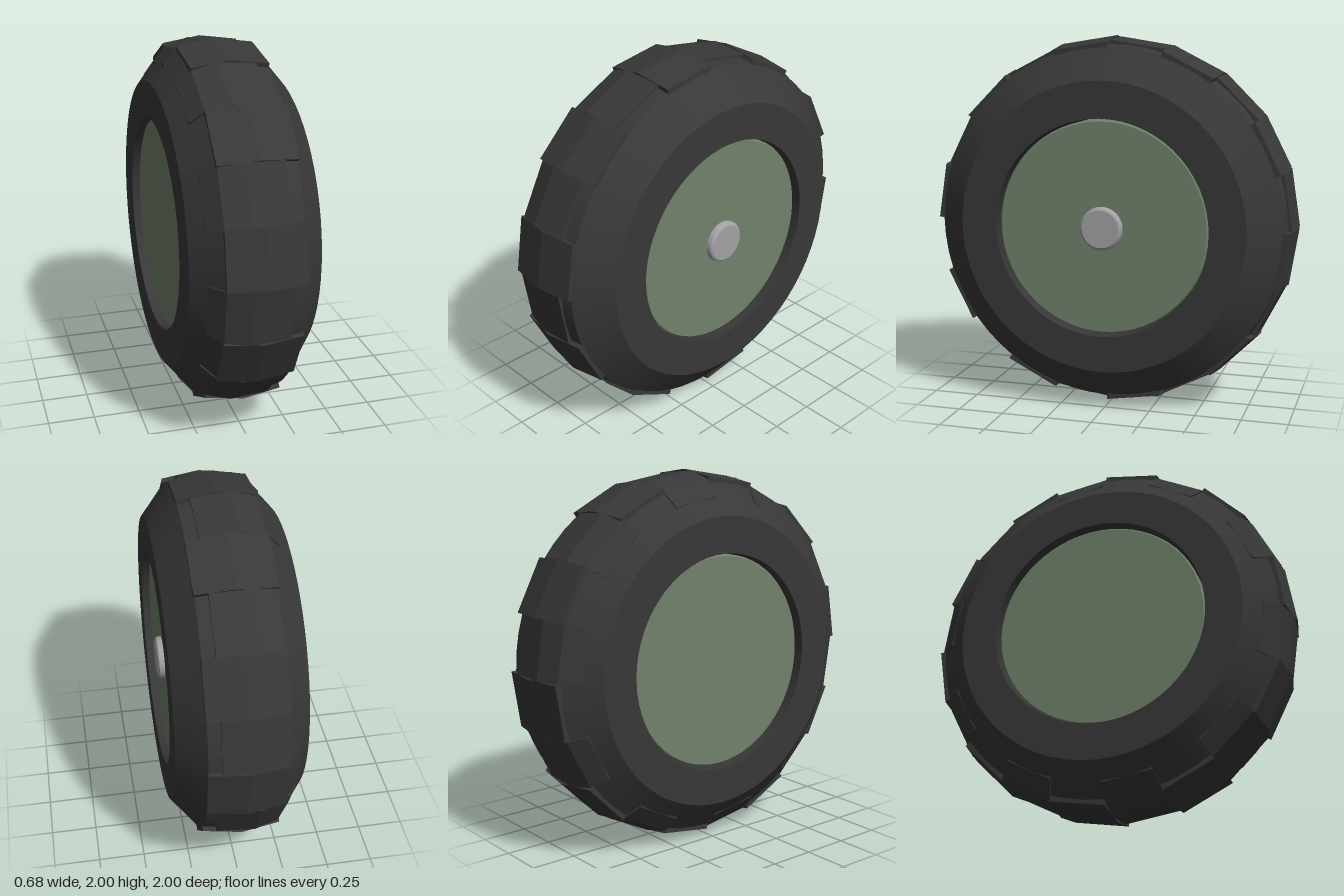
import * as THREE from 'three';
import { toCreasedNormals } from 'three/addons/utils/BufferGeometryUtils.js';

const rubber = new THREE.MeshStandardMaterial({ color: 0x383838 });
rubber.name = 'dark rubber';
const green = new THREE.MeshStandardMaterial({ color: 0x71816b });
green.name = 'muted green';
const grey = new THREE.MeshStandardMaterial({ color: 0xa3a2a5 });
grey.name = 'light grey';

// Turned part about the x axis; profile points are [x, radius]
function turned(name, profile, material, segments = 60) {
  const points = profile.map(([x, r]) => new THREE.Vector2(r, x));
  const geometry = new THREE.LatheGeometry(points, segments);
  geometry.rotateZ(-Math.PI / 2);
  const mesh = new THREE.Mesh(toCreasedNormals(geometry, 0.5), material);
  mesh.name = name;
  return mesh;
}

// Tread block: a cross-section [x, radius] swept through one straight step
function treadBlock(section, t0, t1) {
  const depth = 0.07;
  const outer = section;
  const inner = section.map(([x, r]) => [x, r - depth]);
  const loop = [...outer, ...inner.slice().reverse()];
  const at = ([x, r], t) => [x, r * Math.sin(t), r * Math.cos(t)];
  const positions = [];
  const quad = (a, b, c, d) => positions.push(...a, ...b, ...c, ...a, ...c, ...d);
  loop.forEach((p, i) => {
    const q = loop[(i + 1) % loop.length];
    quad(at(p, t0), at(q, t0), at(q, t1), at(p, t1));
  });
  for (let i = 0; i < section.length - 1; i++) {
    quad(at(outer[i], t0), at(inner[i], t0), at(inner[i + 1], t0), at(outer[i + 1], t0));
    quad(at(outer[i + 1], t1), at(inner[i + 1], t1), at(inner[i], t1), at(outer[i], t1));
  }
  const geometry = new THREE.BufferGeometry();
  geometry.setAttribute('position', new THREE.Float32BufferAttribute(positions, 3));
  geometry.computeVertexNormals();
  return new THREE.Mesh(geometry, rubber);
}

export function createModel() {
  const wheel = new THREE.Group();
  wheel.name = 'wheel';
  wheel.position.y = 1;

  // Tyre carcass with a straight bore
  wheel.add(turned('tyre', [
    [-0.34, 0.58], [-0.34, 0.775], [-0.2, 0.945], [-0.1, 0.962], [0, 0.967],
    [0.1, 0.962], [0.2, 0.945], [0.34, 0.775], [0.34, 0.58], [-0.34, 0.58],
  ], rubber));

  // Staggered tread: centred rows alternate with rows shifted sideways
  const centred = [[-0.205, 0.97], [0, 1], [0.205, 0.97]];
  const shifted = [[-0.27, 0.872], [-0.2, 0.955], [-0.07, 0.993], [0.135, 0.978]];
  const tread = new THREE.Group();
  tread.name = 'tread';
  const rows = 20;
  const step = (Math.PI * 2) / rows;
  for (let k = 0; k < rows; k++) {
    const block = treadBlock(k % 2 ? shifted : centred, k * step, (k + 1) * step);
    block.name = k % 2 ? 'shiftedTreadRow' : 'centredTreadRow';
    tread.add(block);
  }
  wheel.add(tread);

  // Wheel disc, just clear of the bore
  wheel.add(turned('wheelDisc', [
    [-0.3, 0], [-0.3, 0.562], [-0.292, 0.57], [0.292, 0.57], [0.3, 0.562], [0.3, 0],
  ], green));

  // Rounded axle cap on the left side only
  wheel.add(turned('axleCap', [
    [0.29, 0.115], [0.318, 0.115], [0.328, 0.111], [0.335, 0.1], [0.335, 0],
  ], grey, 32));

  const model = new THREE.Group();
  model.name = 'model';
  model.add(wheel);
  return model;
}
